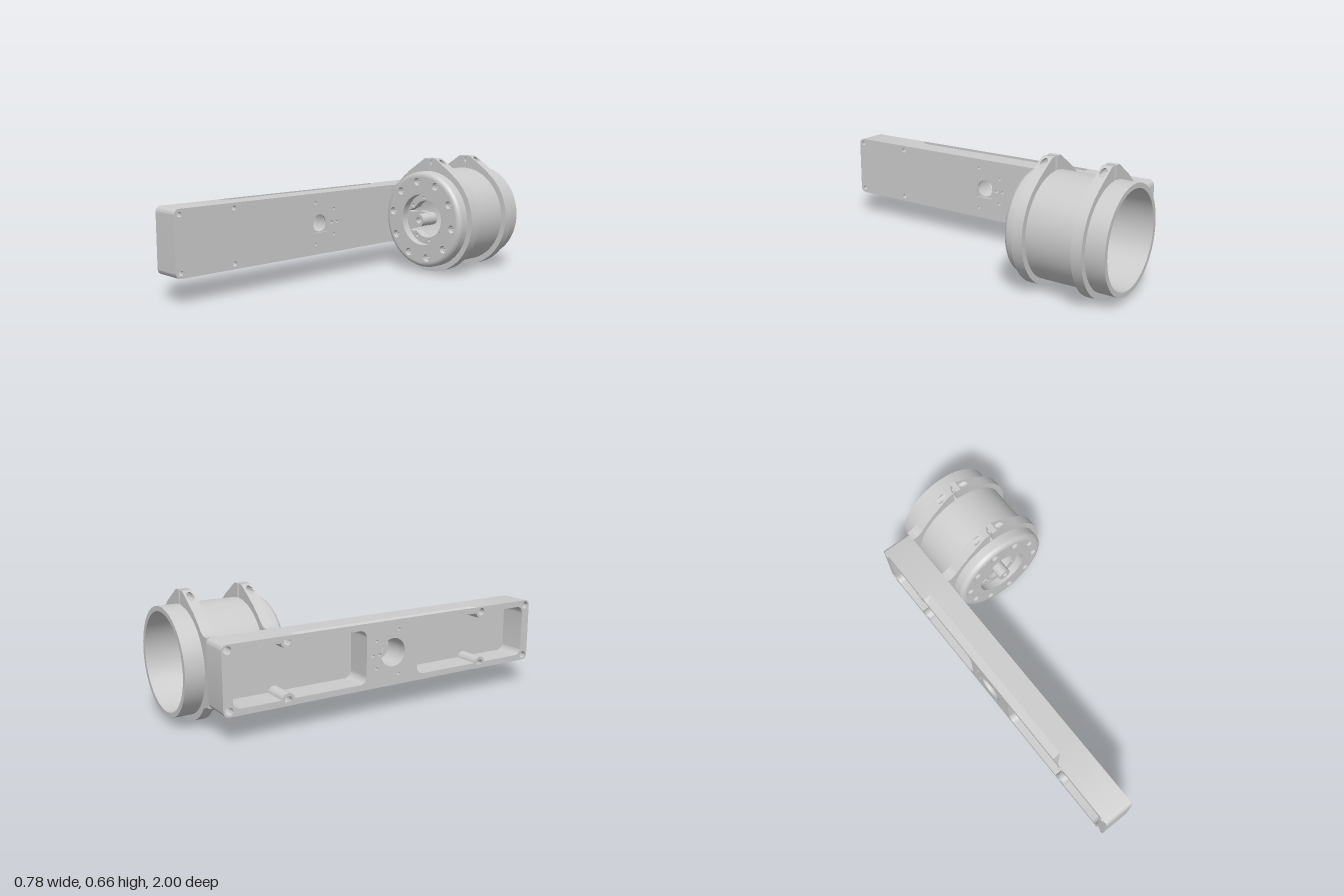
import * as THREE from 'three';
import { toCreasedNormals } from 'three/addons/utils/BufferGeometryUtils.js';

const CX = 0.08, CY = 0.31; // drum axis, also the beam's mid height
const material = new THREE.MeshStandardMaterial({ color: 0xcccccc });

function add(parent, name, geometry) {
  const flat = geometry.index ? geometry.toNonIndexed() : geometry;
  const mesh = new THREE.Mesh(toCreasedNormals(flat, 0.5), material);
  mesh.name = name;
  parent.add(mesh);
}

const circle = (x, y, r) => new THREE.Path().absarc(x, y, r, 0, Math.PI * 2);

// Slab drawn in (x, y), filling z0..z1
function slabZ(shape, z0, z1) {
  return new THREE.ExtrudeGeometry(shape, { depth: z1 - z0, bevelEnabled: false, curveSegments: 48 }).translate(0, 0, z0);
}

// Slab drawn in (z, y), filling x0..x1
function slabX(shape, x0, x1) {
  return new THREE.ExtrudeGeometry(shape, { depth: x1 - x0, bevelEnabled: false, curveSegments: 20 })
    .rotateY(-Math.PI / 2).translate(x1, 0, 0);
}

// Side outline of the beam, with extra points where the chamfer starts and ends
function beamOutline() {
  const s = new THREE.Shape(), a = -0.9, b = 1, lo = 0.137, hi = 0.483, r = 0.03, q = Math.PI / 2;
  const stops = [-0.52, -0.49, 0.58, 0.62];
  s.moveTo(a + r, lo);
  stops.forEach(z => s.lineTo(z, lo));
  s.absarc(b - r, lo + r, r, -q, 0);
  s.absarc(b - r, hi - r, r, 0, q);
  [...stops].reverse().forEach(z => s.lineTo(z, hi));
  s.absarc(a + r, hi - r, r, q, 2 * q);
  s.absarc(a + r, lo + r, r, 2 * q, 3 * q);
  return s;
}

// Rounded pocket with a bump around the screw boss at z = boss
function pocket(z0, z1, boss) {
  const p = new THREE.Path(), lo = CY - 0.14, hi = CY + 0.14, r = 0.04, q = Math.PI / 2;
  p.moveTo(z0 + r, lo);
  p.absarc(boss, lo - 0.005, 0.036, Math.PI - 0.14, 0.14, true);
  p.absarc(z1 - r, lo + r, r, -q, 0);
  p.absarc(z1 - r, hi - r, r, 0, q);
  p.absarc(boss, hi + 0.005, 0.036, -0.14, -Math.PI + 0.14, true);
  p.absarc(z0 + r, hi - r, r, q, 2 * q);
  p.absarc(z0 + r, lo + r, r, 2 * q, 3 * q);
  return p;
}

function buildBeam() {
  const beam = new THREE.Group();
  beam.name = 'beam';
  const pins = [[0.09, 0.43], [-0.05, 0.385], [-0.03, 0.31], [-0.07, 0.31], [-0.05, 0.24], [0.09, 0.195]];
  const screwHoles = r => [-0.87, -0.56, 0.645, 0.97].flatMap(z => [-1, 1].map(s => circle(z, CY + s * 0.145, r)));
  const pinHoles = () => pins.map(([z, y]) => circle(z, y, 0.008));

  // Closed face: outer skin with a square opening, inner skin with a round one
  const skin = beamOutline(), back = beamOutline();
  const square = new THREE.Path([[0, 0.26], [0.105, 0.26], [0.105, 0.365], [0, 0.365]].map(p => new THREE.Vector2(...p)));
  skin.holes.push(square, ...screwHoles(0.013), ...pinHoles());
  back.holes.push(circle(0.053, 0.313, 0.048), ...screwHoles(0.013), ...pinHoles());
  add(beam, 'beamFace', slabX(skin, -0.235, -0.225));
  add(beam, 'beamFloor', slabX(back, -0.245, -0.235));

  // Pocketed frame; the open side is chamfered along the middle
  const frame = beamOutline();
  frame.holes.push(pocket(-0.85, -0.11, -0.56), pocket(0.21, 0.95, 0.645), circle(0.053, 0.313, 0.075),
    ...screwHoles(0.02), ...pinHoles());
  add(beam, 'beamFrame', slabX(frame, -0.345, -0.245));
  const rim = slabX(frame, -0.39, -0.345), p = rim.attributes.position;
  for (let i = 0; i < p.count; i++) {
    const y = p.getY(i) - CY, z = p.getZ(i);
    if (p.getX(i) < -0.385 && Math.abs(y) > 0.17 && z > -0.5 && z < 0.59) p.setY(i, CY + Math.sign(y) * 0.148);
  }
  add(beam, 'beamRim', rim);
  return beam;
}

// Split clamp: ring, arm to the beam and two bolted ears
function buildClamp(z0, z1) {
  const clamp = new THREE.Group();
  clamp.name = 'clamp';
  const R = 0.31, r = 0.277, g = 0.009, up = Math.PI / 2;
  const outer = Math.asin(g / R), inner = Math.asin(g / r), join = Math.PI * 0.78;
  const jx = CX + R * Math.cos(join), jy = R * Math.sin(join);
  const s = new THREE.Shape();
  s.absarc(CX, CY, R, up - outer, -join, true);
  s.quadraticCurveTo(jx - 0.03, CY - 0.173, -0.21, CY - 0.173);
  s.lineTo(-0.226, CY - 0.173);
  s.lineTo(-0.226, CY + 0.173);
  s.lineTo(-0.21, CY + 0.173);
  s.quadraticCurveTo(jx - 0.03, CY + 0.173, jx, CY + jy);
  s.absarc(CX, CY, R, join, up + outer, true);
  s.absarc(CX, CY, r, up + inner, up - inner + 2 * Math.PI, false);
  add(clamp, 'clampRing', slabZ(s, z0, z1));

  for (const side of [-1, 1]) {
    const e = new THREE.Shape([[z0, 0.57], [z1, 0.57], [z1, 0.66], [z0, 0.66]].map(p => new THREE.Vector2(...p)));
    e.holes.push(circle((z0 + z1) / 2, 0.637, 0.018));
    const ear = slabX(e, 0, 1), p = ear.attributes.position;
    // slope the outer end of each ear down to the ring
    for (let i = 0; i < p.count; i++) {
      const far = 0.04 + (0.66 - p.getY(i)) * 1.5;
      const outside = (p.getX(i) > 0.5) === (side > 0);
      p.setX(i, CX + side * (outside ? far : g));
    }
    add(clamp, 'clampEar', ear);
  }
  return clamp;
}

function buildDrum() {
  const drum = new THREE.Group();
  drum.name = 'drum';
  const at = (r, a) => [CX + r * Math.cos(a), CY + r * Math.sin(a)];
  const deg = Math.PI / 180;

  // Open shell with a rounded front edge
  const profile = [[0.252, -0.53], [0.252, -1], [0.278, -1], [0.278, -0.483]];
  for (let i = 1; i <= 6; i++) profile.push([0.25 + 0.028 * Math.cos(i * 15 * deg), -0.483 + 0.028 * Math.sin(i * 15 * deg)]);
  const shell = new THREE.LatheGeometry(profile.map(p => new THREE.Vector2(...p)), 72);
  add(drum, 'drumShell', shell.rotateX(Math.PI / 2).translate(CX, CY, 0));

  // Front plate with ten recessed screws
  const plate = new THREE.Shape().absarc(CX, CY, 0.2505, 0, Math.PI * 2);
  plate.holes.push(circle(CX, CY, 0.147));
  for (let i = 0; i < 10; i++) {
    const [x, y] = at(0.222, (28 + 36 * i) * deg);
    plate.holes.push(circle(x, y, 0.022));
    const head = new THREE.Shape().absarc(x, y, 0.015, 0, Math.PI * 2);
    head.holes.push(new THREE.Path(Array.from({ length: 6 }, (_, k) =>
      new THREE.Vector2(x + 0.008 * Math.cos(k * 60 * deg), y + 0.008 * Math.sin(k * 60 * deg)))));
    add(drum, 'plateScrew', slabZ(head, -0.5, -0.475));
  }
  add(drum, 'frontPlate', slabZ(plate, -0.5, -0.455));

  // Inner plate: C-shaped opening that leaves a spoke to the hub
  const floor = new THREE.Shape().absarc(CX, CY, 0.2525, 0, Math.PI * 2);
  const opening = new THREE.Path();
  opening.moveTo(-0.057, 0.346);
  opening.quadraticCurveTo(-0.05, 0.335, 0.03, 0.352);
  opening.absarc(CX, CY, 0.037, 105 * deg, -75 * deg, true);
  opening.lineTo(-0.037, 0.242);
  opening.quadraticCurveTo(-0.04, 0.225, 0.002, 0.235);
  opening.absarc(CX, CY, 0.108, -136 * deg, 148 * deg, false);
  opening.quadraticCurveTo(-0.04, 0.36, -0.057, 0.346);
  floor.holes.push(opening, circle(CX, CY, 0.018));
  for (let i = 0; i < 7; i++) floor.holes.push(circle(...at(0.126, (-125 + 45 * i) * deg), 0.009));
  add(drum, 'innerPlate', slabZ(floor, -0.55, -0.5));

  // Hub
  const hub = new THREE.Shape().absarc(CX, CY, 0.036, 0, Math.PI * 2);
  hub.holes.push(circle(CX, CY, 0.018));
  add(drum, 'hub', slabZ(hub, -0.51, -0.43));
  return drum;
}

export function createModel() {
  const model = new THREE.Group();
  model.name = 'clampArm';
  model.add(buildBeam(), buildDrum(), buildClamp(-0.9, -0.845), buildClamp(-0.583, -0.525));
  return model;
}
